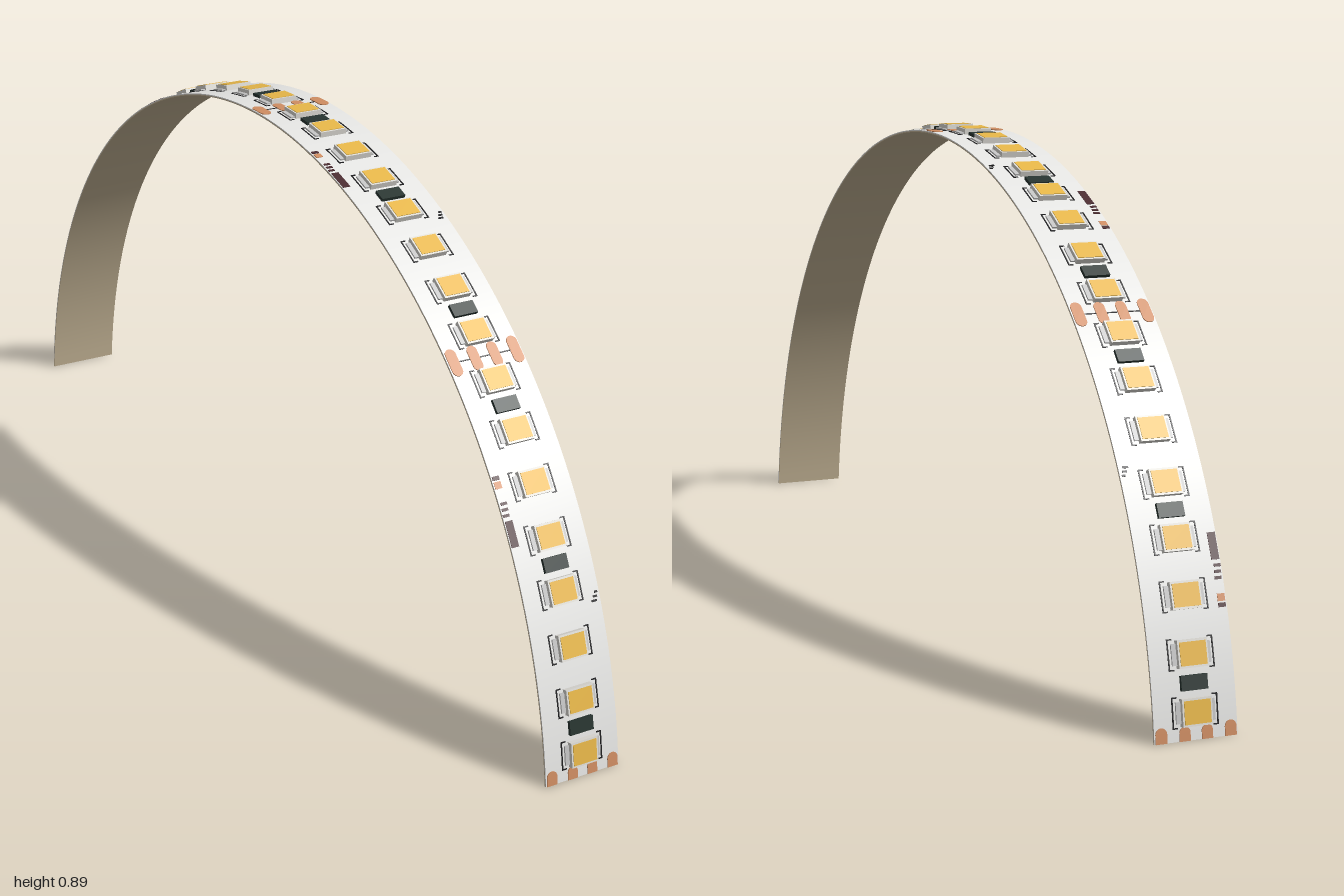
import * as THREE from 'three';

const R = 0.998, CENTRE_Y = -0.117;         // arc of the bent strip
const START = Math.asin(-CENTRE_Y / R);     // angle where the strip meets y = 0
const LENGTH = R * (Math.PI - 2 * START);
const WIDTH = 0.145;
const SEGMENTS = 4, LEDS = 8;
const SEG = LENGTH / SEGMENTS, PITCH = SEG / LEDS;

const mat = (name, color) => {
  const m = new THREE.MeshStandardMaterial({ color });
  m.name = name;
  return m;
};

// Flat strip coordinates: x across, y above the surface, -z along the strip from the front end
function bend(geometry) {
  const p = geometry.attributes.position;
  for (let i = 0; i < p.count; i++) {
    const angle = START - p.getZ(i) / R, r = R + p.getY(i);
    p.setXYZ(i, p.getX(i), r * Math.sin(angle) + CENTRE_Y, r * Math.cos(angle));
  }
  geometry.computeVertexNormals();
  return geometry;
}

function addMesh(parent, name, geometry, material) {
  const mesh = new THREE.Mesh(bend(geometry), material);
  mesh.name = name;
  parent.add(mesh);
}

// Box centred at x and distance s, from height y0 to y1
function addBox(parent, name, material, x, s, w, l, y0, y1, steps = 1) {
  const g = new THREE.BoxGeometry(w, y1 - y0, l, 1, 1, steps);
  addMesh(parent, name, g.translate(x, (y0 + y1) / 2, -s), material);
}

// Rounded solder pad; from/to clip it at the strip ends
function addPad(parent, material, x, s, w, l, from, to) {
  const r = w / 2, h = l / 2 - r, shape = new THREE.Shape();
  shape.moveTo(r, from ? -h : 0);
  shape.lineTo(r, to ? h : 0);
  if (to) shape.absarc(0, h, r, 0, Math.PI, false);
  else shape.lineTo(-r, 0);
  shape.lineTo(-r, from ? -h : 0);
  if (from) shape.absarc(0, -h, r, Math.PI, Math.PI * 2, false);
  const g = new THREE.ExtrudeGeometry(shape, { depth: 0.0015, bevelEnabled: false, curveSegments: 8 });
  addMesh(parent, 'solderPad', g.rotateX(-Math.PI / 2).translate(x, 0, -s), material);
}

export function createModel() {
  const white = mat('boardWhite', 0xe6e6e4);
  const tan = mat('adhesiveTan', 0xc2b294);
  const body = mat('housingWhite', 0xdedcd6);
  const yellow = mat('phosphorYellow', 0xe6b648);
  const lead = mat('leadGrey', 0xc4c4c4);
  const dark = mat('resistorDark', 0x26332f);
  const ink = mat('inkBlack', 0x1c1c1e);
  const copper = mat('padCopper', 0xcf8d62);
  const maroon = mat('markMaroon', 0x4a2b30);

  const model = new THREE.Group();
  model.name = 'ledStrip';

  // Board and its adhesive backing
  addBox(model, 'board', white, 0, LENGTH / 2, WIDTH, LENGTH, -0.002, 0, 128);
  addBox(model, 'adhesiveBacking', tan, 0, LENGTH / 2, WIDTH, LENGTH, -0.004, -0.002, 128);

  // Light chips with leads and printed corner brackets
  for (let i = 0; i < SEGMENTS * LEDS; i++) {
    const s = (i + 0.5) * PITCH;
    const led = new THREE.Group();
    led.name = 'led';
    addBox(led, 'ledHousing', body, 0, s, 0.052, 0.044, 0, 0.010);
    addBox(led, 'ledPhosphor', yellow, 0, s, 0.046, 0.037, 0.010, 0.011);
    for (const side of [-1, 1]) {
      addBox(led, 'ledLead', lead, side * 0.030, s, 0.008, 0.034, 0, 0.003);
      addBox(led, 'bracketLine', ink, side * 0.039, s, 0.0024, 0.050, 0, 0.001);
      for (const end of [-1, 1])
        addBox(led, 'bracketTick', ink, side * 0.035, s + end * 0.024, 0.008, 0.0022, 0, 0.001);
    }
    model.add(led);
  }

  for (let k = 0; k < SEGMENTS; k++) {
    const s0 = k * SEG;
    // Resistors between chips 1-2, 4-5 and 7-8
    for (const n of [1, 4, 7])
      addBox(model, 'resistor', dark, 0, s0 + n * PITCH, 0.046, 0.024, 0, 0.006);

    // Printed edge marks
    const marks = new THREE.Group();
    marks.name = 'edgeMarks';
    addBox(marks, 'markBlock', maroon, -0.064, s0 + 0.426, 0.014, 0.044, 0, 0.001);
    for (let j = 0; j < 3; j++)
      addBox(marks, 'markBar', maroon, -0.0655 + j * 0.001, s0 + 0.457 + j * 0.010, 0.012, 0.005, 0, 0.001);
    addBox(marks, 'markSquare', copper, -0.064, s0 + 0.508, 0.013, 0.012, 0, 0.001);
    addBox(marks, 'markSquare', maroon, -0.064, s0 + 0.520, 0.013, 0.007, 0, 0.001);
    for (let j = 0; j < 3; j++)
      addBox(marks, 'markTick', ink, 0.060 + j * 0.003, s0 + 0.286 + j * 0.007, 0.010 - j * 0.002, 0.0035, 0, 0.001);
    model.add(marks);
  }

  // Cut lines with four copper pads each
  for (let k = 0; k <= SEGMENTS; k++) {
    const s = k * SEG, from = k > 0, to = k < SEGMENTS;
    for (const side of [-1, 1]) {
      addPad(model, copper, side * 0.0605, s, 0.020, 0.050, from, to);
      addPad(model, copper, side * 0.0195, s, 0.019, 0.046, from, to);
    }
    if (from && to) addBox(model, 'cutLine', ink, 0, s, 0.104, 0.002, 0, 0.001);
  }
  return model;
}
